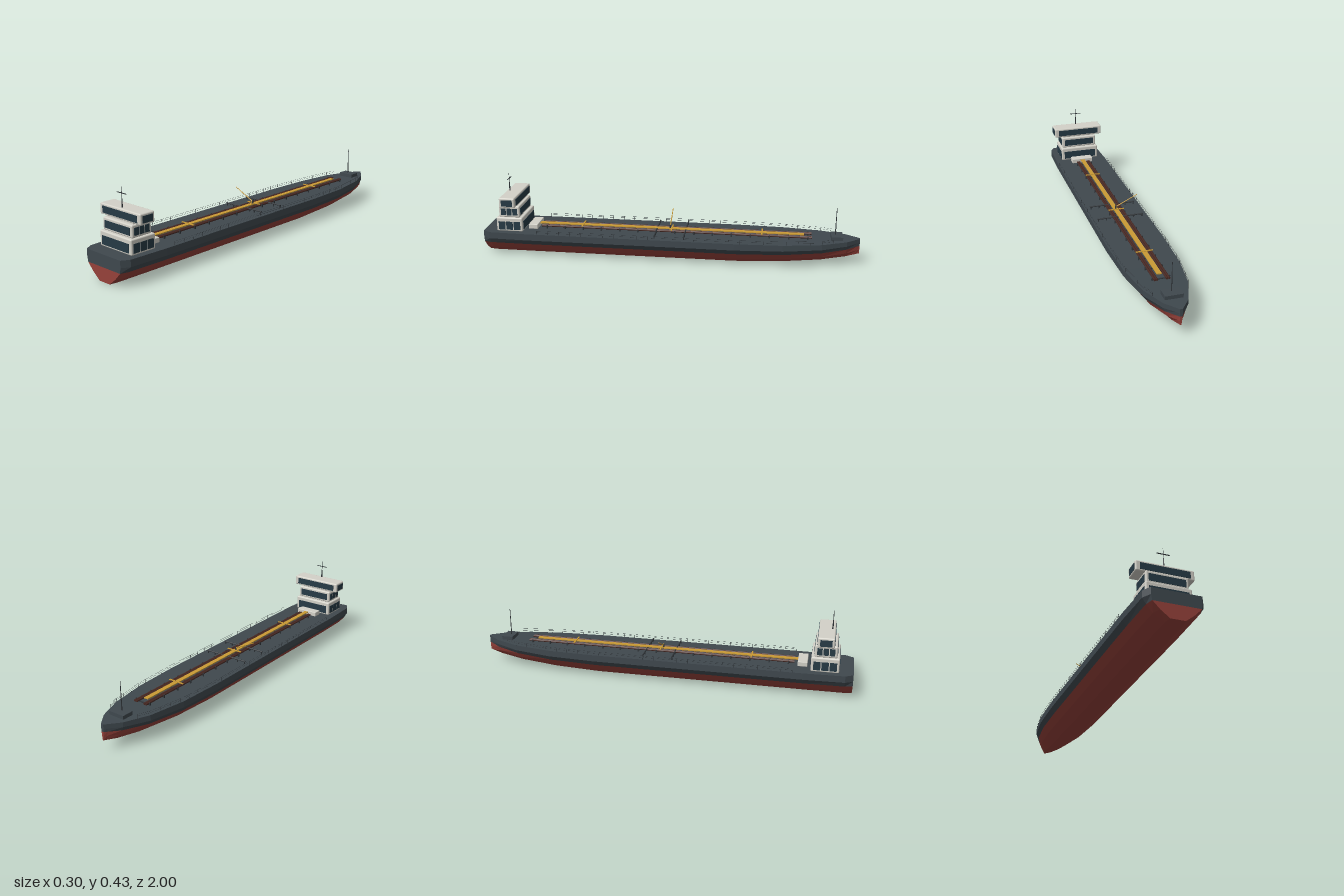
import * as THREE from 'three';
import { RoundedBoxGeometry } from 'three/addons/geometries/RoundedBoxGeometry.js';

const mat = (color, flatShading = false) => new THREE.MeshStandardMaterial({ color, flatShading });
const DECK = 0.135;

export function createModel() {
  const model = new THREE.Group();
  const hullGrey = mat(0x3f484e, true), red = mat(0x96413a, true), white = mat(0xd3d1c8);
  const glass = mat(0x263a45), yellow = mat(0xc99a35), brown = mat(0x4a2a24), dark = mat(0x33383c);

  const add = (name, geometry, material, x = 0, y = 0, z = 0, parent = model) => {
    const mesh = new THREE.Mesh(geometry, material);
    mesh.name = name;
    mesh.position.set(x, y, z);
    parent.add(mesh);
    return mesh;
  };
  const box = (name, w, h, d, material, x, y, z, parent) =>
    add(name, new THREE.BoxGeometry(w, h, d), material, x, y, z, parent);
  // Round bar between two points
  const rod = (name, a, b, r0, r1, material, parent, sides = 8) => {
    const p = new THREE.Vector3(...a), q = new THREE.Vector3(...b);
    const dir = q.clone().sub(p);
    const mesh = add(name, new THREE.CylinderGeometry(r1, r0, dir.length(), sides), material, 0, 0, 0, parent);
    mesh.position.copy(p).add(q).multiplyScalar(0.5);
    mesh.quaternion.setFromUnitVectors(new THREE.Vector3(0, 1, 0), dir.normalize());
    return mesh;
  };
  const group = (name) => {
    const g = new THREE.Group();
    g.name = name;
    model.add(g);
    return g;
  };

  // Hull stations, stern to bow: z, half width, keel height, deck height, waterline fullness
  const stations = [
    [1, 0.12, 0, DECK, 0.96], [0.96, 0.144, 0, DECK, 0.88], [0.75, 0.151, 0, DECK, 0.87],
    [-0.35, 0.151, 0, DECK, 0.87], [-0.6, 0.141, 0.01, DECK, 0.87], [-0.8, 0.11, 0.027, 0.137, 0.86],
    [-0.93, 0.06, 0.046, 0.14, 0.85], [-0.985, 0.018, 0.057, 0.142, 0.85], [-1, 0.007, 0.06, 0.142, 0.85],
  ];
  // Convex closed rings joined along z, capped at both ends
  const loft = (rings) => {
    const pos = [];
    const tri = (...v) => v.forEach((p) => pos.push(...p));
    const n = rings[0].length, last = rings[rings.length - 1];
    for (let i = 0; i < rings.length - 1; i++) {
      for (let j = 0; j < n; j++) {
        const k = (j + 1) % n, a = rings[i][j], b = rings[i][k], c = rings[i + 1][k], d = rings[i + 1][j];
        tri(a, d, c);
        tri(a, c, b);
      }
    }
    for (let j = 1; j < n - 1; j++) {
      tri(rings[0][0], rings[0][j], rings[0][j + 1]);
      tri(last[0], last[j + 1], last[j]);
    }
    const g = new THREE.BufferGeometry();
    g.setAttribute('position', new THREE.Float32BufferAttribute(pos, 3));
    g.computeVertexNormals();
    return g;
  };
  // Right half profile [width fraction, height], mirrored to a ring
  const ring = ([z, w, keel, top], half) => {
    const pts = half.map(([f, y]) => [f * w, keel + (y / DECK) * (top - keel), z]);
    return [...pts, ...pts.map(([x, y]) => [-x, y, z]).reverse()];
  };
  add('lowerHull', loft(stations.map((s) => ring(s, [[0.3, 0], [0.67, 0.035], [s[4], 0.072]]))), red);
  add('upperHull', loft(stations.map((s) => ring(s, [[s[4], 0.072], [1, 0.1], [1, DECK]]))), hullGrey);

  // Deckhouse tiers with windows on all four sides
  const house = group('deckhouse');
  const tiers = [
    // width, y0, y1, z0, z1, window width, window y0, window y1, side panes
    [0.224, 0.133, 0.21, 0.785, 0.928, 0.192, 0.143, 0.188, 3],
    [0.208, 0.21, 0.273, 0.8, 0.914, 0.18, 0.222, 0.259, 3],
    [0.288, 0.275, 0.329, 0.812, 0.897, 0.246, 0.284, 0.318, 1],
  ];
  for (const [w, y0, y1, z0, z1, ww, wy0, wy1, panes] of tiers) {
    const d = z1 - z0, zc = (z0 + z1) / 2, wh = wy1 - wy0, wy = (wy0 + wy1) / 2;
    add('deckhouseTier', new RoundedBoxGeometry(w, y1 - y0, d, 2, 0.007), white, 0, (y0 + y1) / 2, zc, house);
    for (const s of [-1, 1]) {
      box('wideWindow', ww, wh, 0.004, glass, 0, wy, zc + s * d / 2, house);
      const pitch = (d - 0.02) / panes;
      for (let i = 0; i < panes; i++) {
        box('sideWindow', 0.004, wh, pitch - 0.005, glass, s * w / 2, wy, zc + (i - (panes - 1) / 2) * pitch, house);
      }
    }
  }
  box('tierSlab', 0.19, 0.006, 0.08, white, 0, 0.274, 0.855, house);
  add('deckLocker', new RoundedBoxGeometry(0.124, 0.026, 0.05, 2, 0.003), white, 0, 0.147, 0.742, house);

  // Radar mast on the roof
  const radar = group('radarMast');
  rod('mastLower', [0, 0.328, 0.88], [0, 0.375, 0.88], 0.004, 0.002, dark, radar);
  rod('mastUpper', [0, 0.375, 0.88], [0, 0.427, 0.88], 0.0015, 0.001, dark, radar);
  box('radarBar', 0.064, 0.003, 0.004, dark, 0, 0.397, 0.88, radar);

  // Central walkway, cargo pipes and their supports
  const cargo = group('cargoDeck');
  box('walkway', 0.024, 0.005, 1.44, yellow, 0, 0.152, 0.01, cargo);
  for (const z of [-0.49, -0.01, 0.475]) box('walkwayCrossing', 0.086, 0.004, 0.007, yellow, 0, 0.155, z, cargo);
  for (const s of [-1, 1]) {
    for (const x of [0.024, 0.035]) {
      rod('cargoPipe', [s * x, 0.147, 0.7], [s * x, 0.147, -0.75], 0.0055, 0.0055, brown, cargo);
    }
  }
  for (let i = 0; i < 15; i++) {
    const z = 0.67 - i * 0.1;
    box('pipeSaddle', 0.09, 0.004, 0.007, dark, 0, 0.14, z, cargo);
    for (const x of [-0.043, 0.043]) box('pipePost', 0.004, 0.017, 0.007, dark, x, 0.143, z, cargo);
  }
  for (const z of [-0.085, 0.07]) {
    rod('manifoldPipe', [-0.125, 0.149, z], [0.125, 0.149, z], 0.004, 0.004, dark, cargo);
    for (const x of [-0.12, -0.075, 0.075, 0.12]) rod('manifoldLeg', [x, 0.133, z], [x, 0.149, z], 0.003, 0.003, dark, cargo);
  }

  // Hose crane amidships
  const crane = group('hoseCrane');
  rod('cranePost', [0, 0.134, 0], [0, 0.17, 0], 0.005, 0.004, dark, crane);
  rod('craneBoom', [0, 0.165, 0], [-0.12, 0.224, 0], 0.003, 0.002, yellow, crane);

  // Forecastle hatch and foremast
  const fore = group('forecastle');
  box('foreHatch', 0.088, 0.022, 0.06, hullGrey, 0, 0.147, -0.88, fore);
  rod('foremast', [0, 0.135, -0.872], [0, 0.305, -0.872], 0.003, 0.0015, dark, fore);

  // Side railings following the deck edge
  const rails = group('railings');
  const edge = (z) => {
    const i = stations.findIndex((s, k) => k > 0 && s[0] <= z);
    const a = stations[i - 1], b = stations[i], t = (a[0] - z) / (a[0] - b[0]);
    return [a[1] + (b[1] - a[1]) * t - 0.003, a[3] + (b[3] - a[3]) * t];
  };
  for (const s of [-1, 1]) {
    let prev = null;
    for (let i = 0; i <= 26; i++) {
      const z = 0.7 - i * 0.06, [x, y] = edge(z);
      rod('railPost', [s * x, y, z], [s * x, y + 0.02, z], 0.0008, 0.0008, dark, rails, 5);
      if (prev) {
        for (const h of [0.011, 0.02]) {
          rod('rail', [s * prev[0], prev[1] + h, prev[2]], [s * x, y + h, z], 0.0005, 0.0005, dark, rails, 4);
        }
      }
      prev = [x, y, z];
    }
  }
  return model;
}
